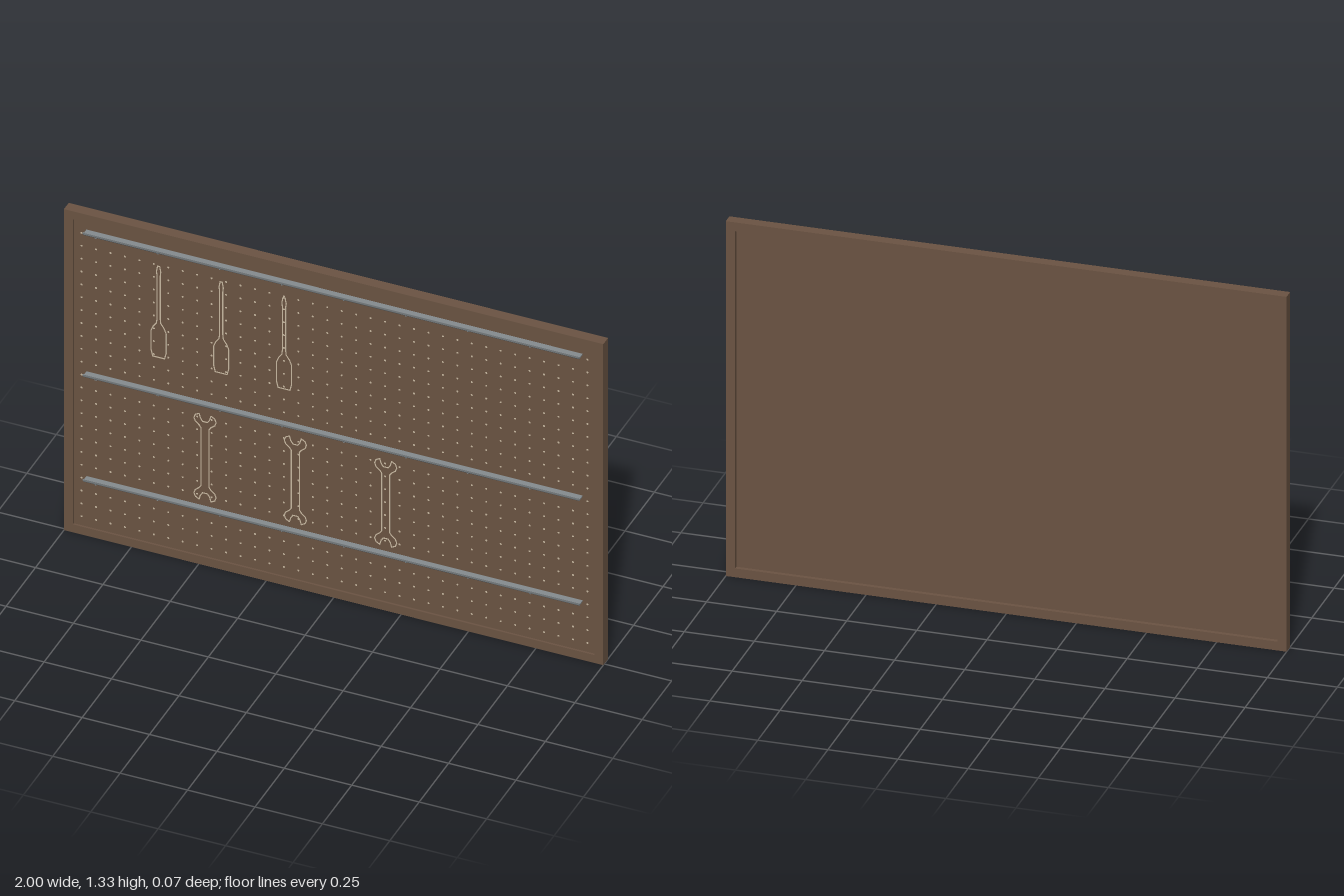
import * as THREE from 'three';
import { mergeGeometries } from 'three/addons/utils/BufferGeometryUtils.js';

const H = 1.333, RAIL = 0.033, DEPTH = 0.041, ZC = -0.0125, FACE = 0.0;
const wood = new THREE.MeshStandardMaterial({ color: 0x6b5443 });
const steel = new THREE.MeshStandardMaterial({ color: 0x858c8f });
const paint = new THREE.MeshStandardMaterial({ color: 0xcbbba3 });

const box = (w, h, d, x, y, z) => new THREE.BoxGeometry(w, h, d).translate(x, y, z);

function add(group, name, geometry, material) {
  const mesh = new THREE.Mesh(geometry, material);
  mesh.name = name;
  group.add(mesh);
  return mesh;
}

// Thin painted line around a closed outline
function outline(points) {
  const width = 0.004;
  return mergeGeometries(points.map(([x1, y1], i) => {
    const [x2, y2] = points[(i + 1) % points.length];
    const dx = x2 - x1, dy = y2 - y1;
    return new THREE.BoxGeometry(Math.hypot(dx, dy) + width * 0.6, width, 0.001)
      .rotateZ(Math.atan2(dy, dx))
      .translate((x1 + x2) / 2, (y1 + y2) / 2, FACE + 0.0005);
  }));
}

// Complete an outline from its +x half, listed bottom to top
const mirrorX = (half) => [...half, ...half.map(([x, y]) => [-x, y]).reverse()];

export function createModel() {
  const model = new THREE.Group();
  model.name = 'pegboard';

  // Frame
  add(model, 'bottomRail', box(2, RAIL, DEPTH, 0, RAIL / 2, ZC), wood);
  add(model, 'topRail', box(2, RAIL, DEPTH, 0, H - RAIL / 2, ZC), wood);
  for (const s of [-1, 1]) {
    add(model, s > 0 ? 'leftStile' : 'rightStile',
      box(RAIL, H - 2 * RAIL, DEPTH, s * (1 - RAIL / 2), H / 2, ZC), wood);
  }

  // Panel set back from both faces of the frame
  add(model, 'panel', box(2 - 2 * RAIL, H - 2 * RAIL, 0.018, 0, H / 2, FACE - 0.009), wood);

  // Grid of peg holes
  const holes = [];
  for (let col = 0; col < 36; col++) {
    for (let row = 0; row < 23; row++) {
      holes.push(new THREE.CircleGeometry(0.004, 8)
        .translate(-0.938 + col * 0.0536, 0.07 + row * 0.0535, FACE + 0.0004));
    }
  }
  add(model, 'pegHoles', mergeGeometries(holes), paint);

  // Tool rails: a shelf with an upturned lip, on small brackets
  const profile = new THREE.Shape([
    [0, -0.003], [0.028, -0.003], [0.031, 0.001], [0.033, 0.010],
    [0.030, 0.010], [0.027, 0.002], [0, 0.002],
  ].map(([z, y]) => new THREE.Vector2(-z, y)));
  [0.24, 0.675, 1.264].forEach((y, i) => {
    const rail = new THREE.Group();
    rail.name = 'toolRail' + (i + 1);
    rail.position.y = y;
    const strip = new THREE.ExtrudeGeometry(profile, { depth: 1.84, bevelEnabled: false })
      .rotateY(Math.PI / 2).translate(-0.92, 0, FACE);
    add(rail, 'shelf', strip, steel);
    const brackets = [];
    for (let k = 0; k < 8; k++) {
      brackets.push(box(0.006, 0.005, 0.026, -0.875 + k * 0.23, -0.005, FACE + 0.013));
    }
    add(rail, 'brackets', mergeGeometries(brackets), steel);
    model.add(rail);
  });

  // Painted screwdriver silhouettes
  const screwdriver = outline(mirrorX([
    [0.022, 0.81], [0.028, 0.835], [0.028, 0.915], [0.020, 0.935], [0.008, 0.952],
    [0.006, 0.97], [0.006, 1.15], [0.008, 1.165], [0.004, 1.188],
  ]));
  [-0.652, -0.42, -0.187].forEach((x) => {
    add(model, 'screwdriverOutline', screwdriver, paint).position.x = x;
  });

  // Painted double-ended spanner silhouettes
  const head = [
    [0.015, 0.12], [0.022, 0.13], [0.036, 0.142], [0.041, 0.156],
    [0.036, 0.170], [0.022, 0.178], [0.017, 0.160], [0.009, 0.148],
  ];
  const right = [...head.map(([x, y]) => [x, -y]).reverse(), ...head];
  const spanner = outline(mirrorX(right));
  [-0.48, -0.145, 0.19].forEach((x) => {
    add(model, 'spannerOutline', spanner, paint).position.set(x, 0.442, 0);
  });

  return model;
}
